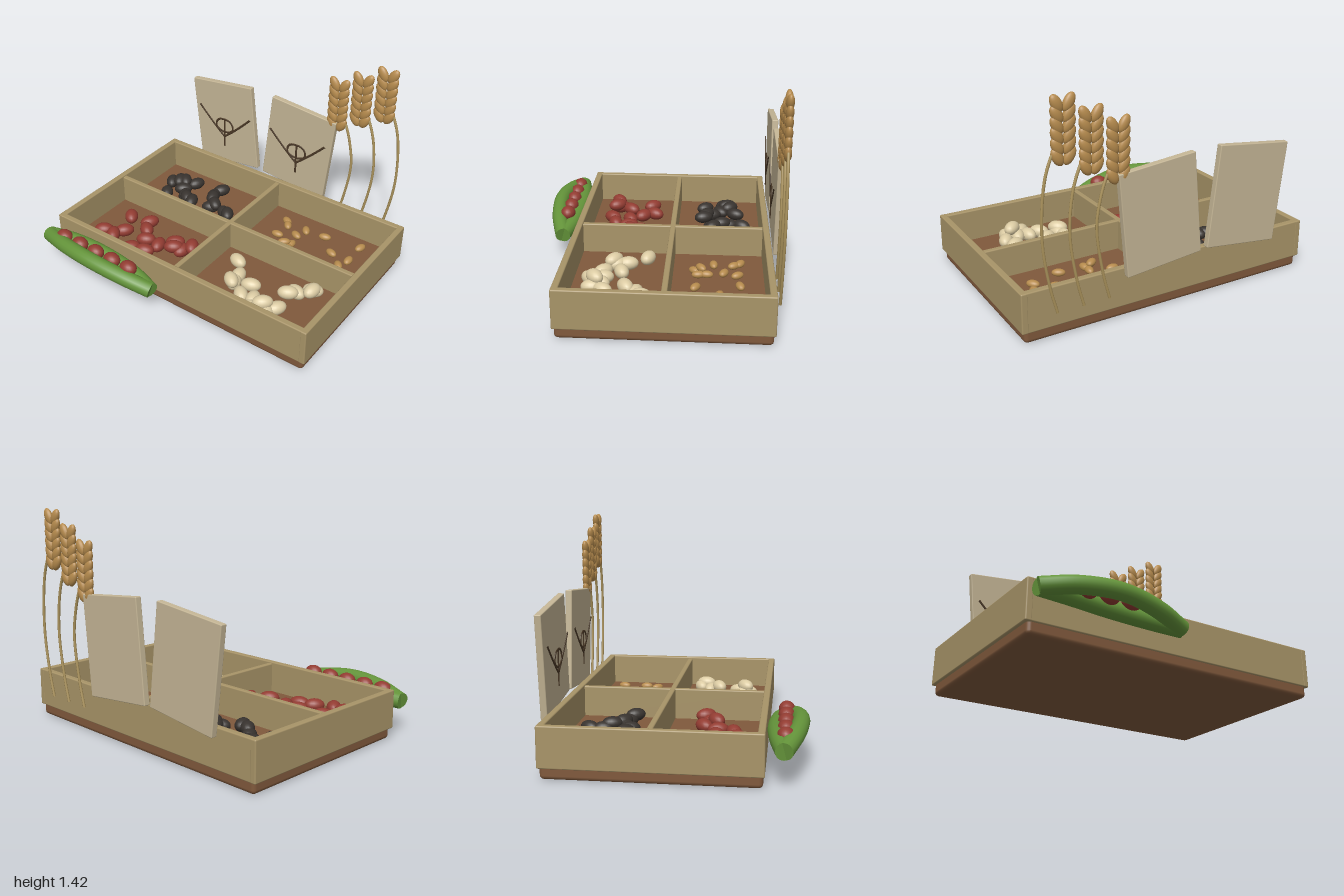
import * as THREE from 'three';
import { RoundedBoxGeometry } from 'three/addons/geometries/RoundedBoxGeometry.js';

const mat = (color) => new THREE.MeshStandardMaterial({ color });
const wood = mat(0xa89468), brown = mat(0x80593c), card = mat(0xc4b595), ink = mat(0x4a3826);
const straw = mat(0xab935c), grainTan = mat(0xb78c4e), red = mat(0x933c32), black = mat(0x38332f);
const cream = mat(0xdccca4), green = mat(0x64943a);
const FLOOR = 0.11;
const sphere = new THREE.SphereGeometry(1, 18, 12);

function add(parent, name, geometry, material, x = 0, y = 0, z = 0) {
  const m = new THREE.Mesh(geometry, material);
  m.name = name;
  m.position.set(x, y, z);
  parent.add(m);
  return m;
}

function group(parent, name, x = 0, y = 0, z = 0) {
  const g = new THREE.Group();
  g.name = name;
  g.position.set(x, y, z);
  parent.add(g);
  return g;
}

const block = (parent, name, material, w, h, d, x, y, z, r = 0.008) =>
  add(parent, name, new RoundedBoxGeometry(w, h, d, 2, r), material, x, y, z);

const curve = (points, closed = false) =>
  new THREE.CatmullRomCurve3(points.map((p) => new THREE.Vector3(p[0], p[1], p[2] || 0)), closed);

const tube = (parent, name, material, points, r, closed = false, sides = 8) =>
  add(parent, name, new THREE.TubeGeometry(curve(points, closed), 32, r, sides, closed), material);

// Seeds lying on the tray floor: [x, z, yaw in degrees]; crowded ones rest higher
function seedPile(parent, name, material, [rx, ry, rz], spots) {
  const pile = group(parent, name);
  spots.forEach(([x, z, yaw], i) => {
    const below = spots.slice(0, i).filter((s) => Math.hypot(s[0] - x, s[1] - z) < rx).length;
    const seed = add(pile, 'seed', sphere, material, x, FLOOR + ry * 0.9 + below * ry * 0.6, z);
    seed.scale.set(rx, ry, rz);
    seed.rotation.y = THREE.MathUtils.degToRad(yaw);
  });
}

// Card leaning behind the tray, with a simple sprout drawn on it
function seedPacket(parent, x, tilt) {
  const g = group(parent, 'seedPacket', x, 0.62, -0.768);
  block(g, 'card', card, 0.515, 0.645, 0.042, 0, 0, 0, 0.006).rotation.z = tilt;
  const art = group(g, 'sproutDrawing', 0, 0, 0.034);
  art.scale.z = 0.5;
  tube(art, 'sproutStem', ink, [[0, -0.19], [0, -0.07], [0, 0.045]], 0.008);
  for (const s of [-1, 1]) {
    tube(art, 'sproutArm', ink,
      [[s * 0.225, 0.1], [s * 0.15, 0.025], [s * 0.065, -0.055], [0, -0.11]], 0.008);
  }
  tube(art, 'sproutLeaf', ink, [[-0.073, -0.01], [-0.05, 0.025], [0, 0.035], [0.05, 0.025],
    [0.073, -0.01], [0.068, -0.045], [0, -0.07], [-0.068, -0.045]], 0.008, true);
}

// Wheat stalk: bent stem and paired grains
function wheat(parent, x, bottom) {
  const g = group(parent, 'wheatStalk', x, 0, -0.768);
  tube(g, 'stem', straw, [[0.055, 0.17], [0.096, 0.33], [0.137, 0.62],
    [0.118, bottom - 0.09], [0.076, bottom + 0.05], [0.01, bottom + 0.17]], 0.009);
  for (let row = 0; row < 6; row++) {
    for (const s of [-1, 1]) {
      const grain = add(g, 'grain', sphere, grainTan, s * 0.036, bottom + 0.051 + row * 0.058, 0);
      grain.scale.set(0.032, 0.056, 0.023);
      grain.rotation.z = -s * 0.5;
    }
  }
}

// Pod: two curved halves meeting at the ends, with beans between
function beanPod(parent) {
  const pod = group(parent, 'beanPod');
  const ends = [[-0.985, 0.222, 0.642], [-0.08, 0.183, 0.655]];
  const halves = [
    [[-0.78, 0.258, 0.705], [-0.53, 0.27, 0.735], [-0.28, 0.236, 0.71]],
    [[-0.78, 0.232, 0.605], [-0.53, 0.224, 0.59], [-0.28, 0.207, 0.608]],
  ];
  for (const mid of halves) {
    const points = [ends[0], ...mid, ends[1]];
    tube(pod, 'podHalf', green, points, 0.052, false, 16);
    const path = curve(points);
    for (const t of [0, 1]) {
      const dir = path.getTangent(t).multiplyScalar(t ? 1 : -1);
      const cap = add(pod, 'podEnd', new THREE.CircleGeometry(0.052, 16), green, ...ends[t]);
      cap.quaternion.setFromUnitVectors(new THREE.Vector3(0, 0, 1), dir);
    }
  }
  for (let i = 0; i < 5; i++) {
    add(pod, 'podBean', sphere, red, -0.838 + i * 0.142, 0.27, 0.648).scale.set(0.061, 0.048, 0.05);
  }
}

export function createModel() {
  const model = new THREE.Group();
  model.name = 'seedTray';

  // Tray
  const tray = group(model, 'tray');
  block(tray, 'base', brown, 1.96, 0.1, 1.26, 0, 0.05, -0.1, 0.025);
  block(tray, 'floor', brown, 1.94, 0.06, 1.22, 0, FLOOR - 0.03, -0.1, 0.004);
  for (const s of [-1, 1]) {
    block(tray, 'sideWall', wood, 0.042, 0.25, 1.28, s * 0.978, 0.195, -0.1);
    block(tray, 'endWall', wood, 1.98, 0.25, 0.042, 0, 0.195, -0.1 + s * 0.618);
  }
  block(tray, 'longDivider', wood, 1.93, 0.21, 0.036, 0, 0.205, -0.104);
  block(tray, 'crossDivider', wood, 0.036, 0.21, 1.22, 0, 0.205, -0.1);

  // Seeds in the four compartments
  seedPile(model, 'blackBeans', black, [0.066, 0.042, 0.045], [
    [-0.79, -0.45, 120], [-0.73, -0.47, 110], [-0.69, -0.49, 130], [-0.62, -0.53, 65],
    [-0.66, -0.42, 40], [-0.6, -0.36, 110], [-0.73, -0.31, 125], [-0.55, -0.32, 140],
    [-0.49, -0.3, 110], [-0.41, -0.57, 60], [-0.42, -0.48, 100], [-0.39, -0.43, 110],
    [-0.35, -0.35, 30], [-0.33, -0.37, 140], [-0.23, -0.35, 150], [-0.18, -0.32, 125]]);
  seedPile(model, 'redBeans', red, [0.068, 0.044, 0.047], [
    [-0.74, 0.085, 130], [-0.59, 0.06, 60], [-0.55, 0.14, 140], [-0.67, 0.24, 50],
    [-0.71, 0.32, 110], [-0.77, 0.34, 35], [-0.68, 0.345, 125], [-0.48, 0.23, 30],
    [-0.51, 0.36, 50], [-0.41, 0.33, 20], [-0.37, 0.23, 105], [-0.295, 0.135, 40],
    [-0.2, 0.18, 80], [-0.25, 0.21, 35], [-0.15, 0.135, 120]]);
  seedPile(model, 'whiteBeans', cream, [0.068, 0.044, 0.046], [
    [0.175, 0.048, 160], [0.74, 0.01, 20], [0.66, 0.088, 165], [0.635, 0.15, 30],
    [0.75, 0.045, 80], [0.265, 0.17, 100], [0.28, 0.24, 110], [0.385, 0.2, 20],
    [0.27, 0.26, 140], [0.385, 0.315, 135], [0.47, 0.305, 100], [0.49, 0.385, 45],
    [0.54, 0.32, 70], [0.605, 0.36, 95], [0.64, 0.29, 60], [0.57, 0.345, 40]]);
  seedPile(model, 'wheatGrains', grainTan, [0.044, 0.024, 0.027], [
    [0.19, -0.55, 150], [0.22, -0.51, 125], [0.36, -0.53, 125], [0.33, -0.445, 155],
    [0.215, -0.38, 5], [0.505, -0.545, 15], [0.765, -0.58, 75], [0.63, -0.415, 160],
    [0.765, -0.41, 90], [0.735, -0.325, 130], [0.535, -0.27, 150], [0.355, -0.335, 85],
    [0.305, -0.26, 50], [0.36, -0.285, 100], [0.32, -0.3, 35]]);

  // Items around the tray
  beanPod(model);
  seedPacket(model, -0.503, 0.117);
  seedPacket(model, 0.123, -0.097);
  for (let i = 0; i < 3; i++) wheat(model, 0.405 + i * 0.167, 0.86 + i * 0.084);
  return model;
}
